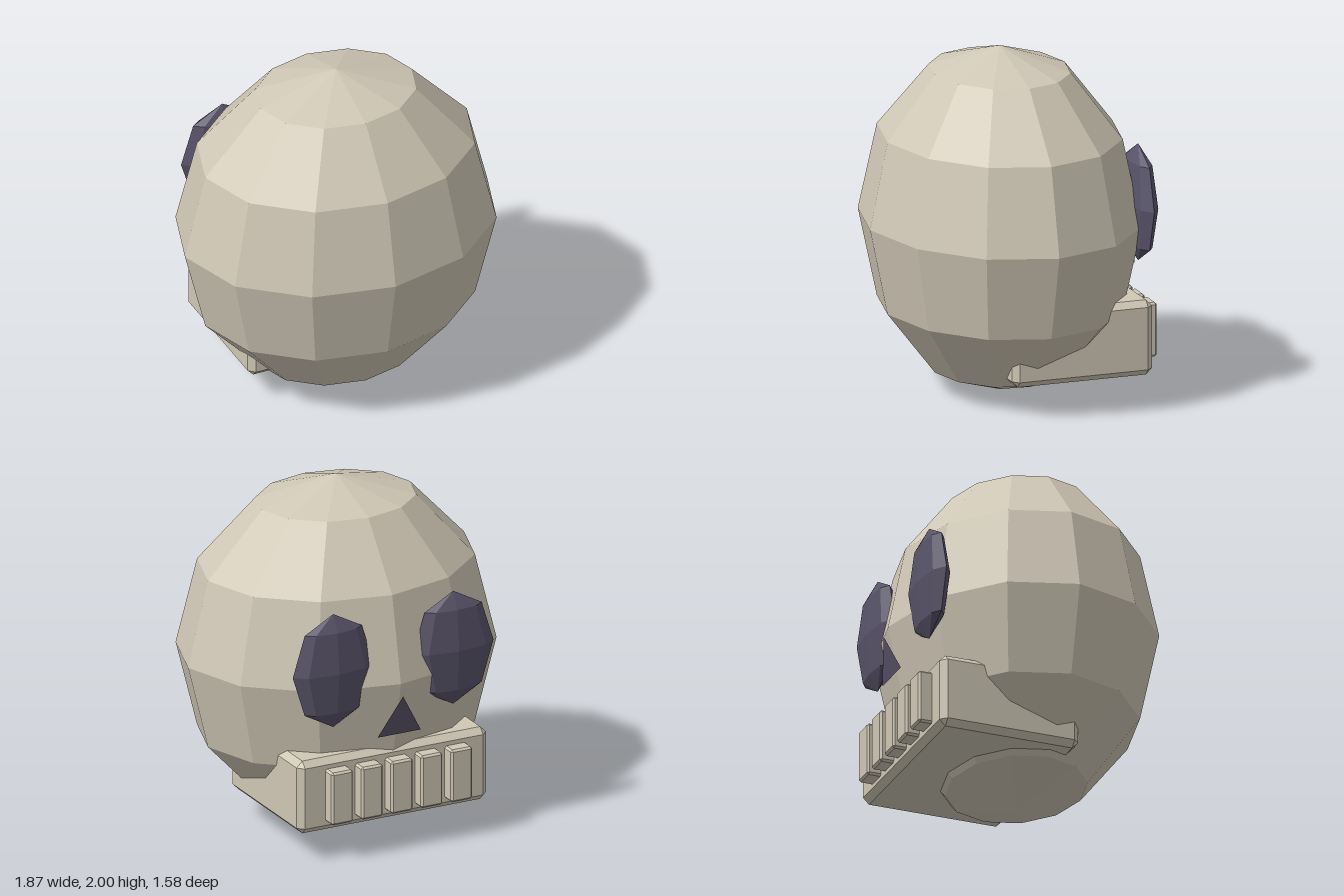
import * as THREE from 'three';
import { ConvexGeometry } from 'three/addons/geometries/ConvexGeometry.js';

const bone = new THREE.MeshStandardMaterial({ color: 0xd0c8b6, flatShading: true });
bone.name = 'bone';
const socket = new THREE.MeshStandardMaterial({ color: 0x59546a, flatShading: true, side: THREE.DoubleSide });
socket.name = 'dark socket';

// Box with every edge cut by a flat chamfer
function chamferBox(w, h, d, c) {
  const points = [];
  for (const sx of [-1, 1]) for (const sy of [-1, 1]) for (const sz of [-1, 1]) {
    const x = w / 2, y = h / 2, z = d / 2;
    points.push(
      new THREE.Vector3(sx * x, sy * (y - c), sz * (z - c)),
      new THREE.Vector3(sx * (x - c), sy * y, sz * (z - c)),
      new THREE.Vector3(sx * (x - c), sy * (y - c), sz * z));
  }
  return new ConvexGeometry(points);
}

export function createModel() {
  const group = new THREE.Group();
  group.name = 'skull';

  function add(name, geometry, material, x, y, z) {
    const mesh = new THREE.Mesh(geometry, material);
    mesh.name = name;
    mesh.position.set(x, y, z);
    group.add(mesh);
    return mesh;
  }

  // Cranium: faceted ellipsoid
  add('cranium', new THREE.SphereGeometry(1, 12, 6).scale(0.937, 1, 0.777), bone, 0, 1, 0.013);

  // Jaw block, mostly buried in the cranium
  add('jaw', chamferBox(1.2, 0.435, 0.84, 0.036), bone, 0, 0.383, -0.264);

  // Row of five teeth on the face side of the jaw
  const toothGeometry = chamferBox(0.137, 0.315, 0.14, 0.012);
  for (let i = -2; i <= 2; i++) {
    add('tooth', toothGeometry, bone, -0.01 + i * 0.189, 0.382, -0.695);
  }

  // Eye sockets: flattened faceted ellipsoids
  const eyeGeometry = new THREE.SphereGeometry(1, 8, 4).scale(0.256, 0.34, 0.074);
  for (const side of [-1, 1]) {
    add(side > 0 ? 'leftEye' : 'rightEye', eyeGeometry, socket, side * 0.38, 1.12, -0.671);
  }

  // Nose: flat triangle leaning along the face
  const nose = new THREE.BufferGeometry().setFromPoints([
    new THREE.Vector3(0, 0.15, -0.035),
    new THREE.Vector3(0.137, -0.09, 0.013),
    new THREE.Vector3(-0.137, -0.09, 0.013)]);
  nose.computeVertexNormals();
  add('nose', nose, socket, 0, 0.785, -0.756);

  return group;
}
